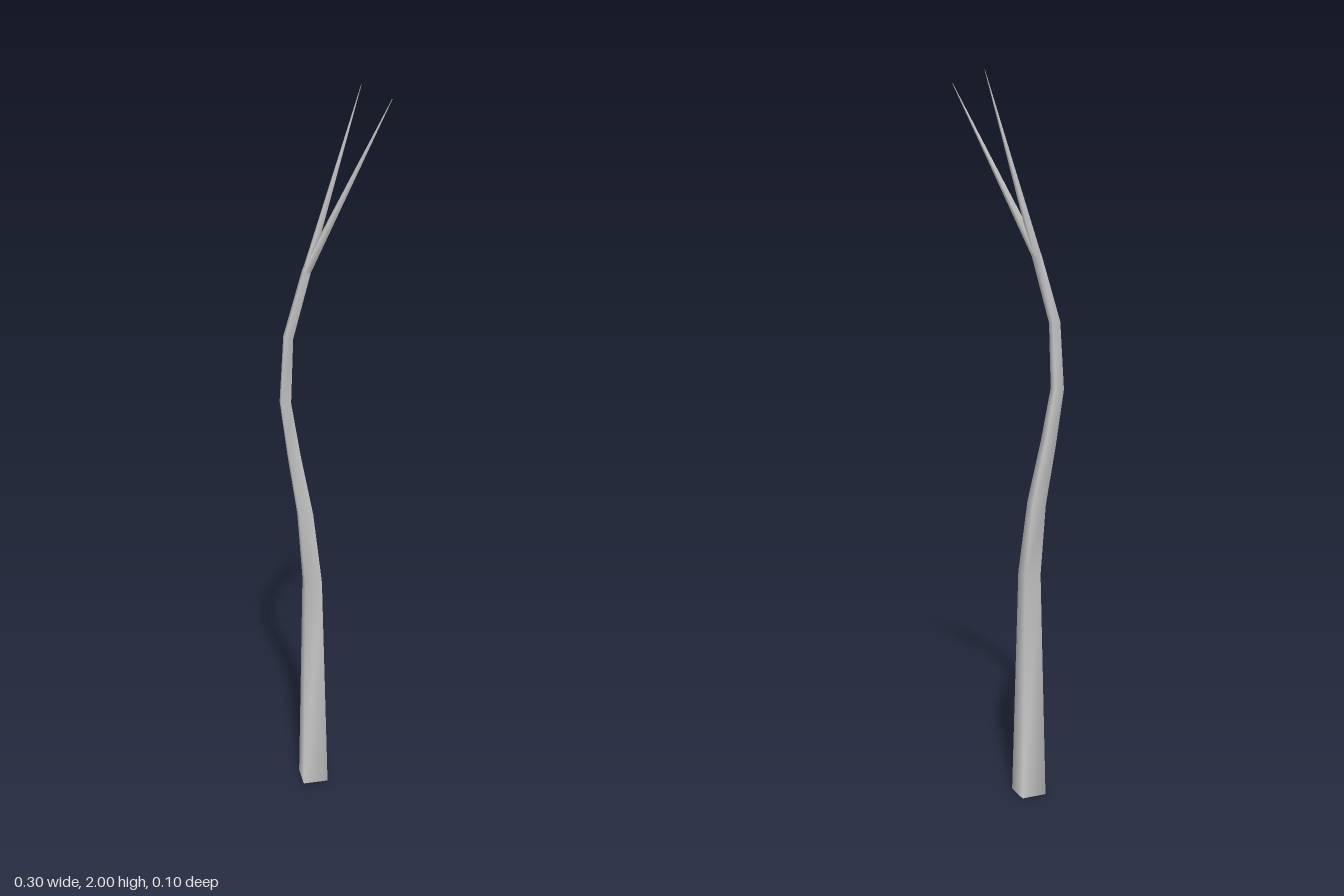
import * as THREE from 'three';

const SIDES = 4;
const TWIST = 0.43; // turn of the square section about the stem

// Tapered stem through rings [x, y, z, radius]; inner rings tilt with the bend.
function taperedStem(name, rings, material) {
  const pos = [], index = [];
  rings.forEach(([x, y, z, r], i) => {
    const p = rings[Math.max(i - 1, 0)], n = rings[Math.min(i + 1, rings.length - 1)];
    const tilt = y === 0 ? 0 : 1 / (n[1] - p[1]);
    const sx = (n[0] - p[0]) * tilt, sz = (n[2] - p[2]) * tilt;
    for (let k = 0; k < SIDES; k++) {
      const a = TWIST + (k / SIDES) * Math.PI * 2;
      const dx = r * Math.cos(a), dz = r * Math.sin(a);
      pos.push(x + dx, y - dx * sx - dz * sz, z + dz);
      if (i === 0) continue;
      const k2 = (k + 1) % SIDES, lo = (i - 1) * SIDES, hi = i * SIDES;
      index.push(lo + k, hi + k, lo + k2, lo + k2, hi + k, hi + k2);
    }
  });
  const geo = new THREE.BufferGeometry();
  geo.setAttribute('position', new THREE.Float32BufferAttribute(pos, 3));
  geo.setIndex(index);
  geo.computeVertexNormals();
  const mesh = new THREE.Mesh(geo, material);
  mesh.name = name;
  return mesh;
}

export function createModel() {
  const group = new THREE.Group();
  group.name = 'bareStem';
  const material = new THREE.MeshStandardMaterial({ color: 0xcccccc, side: THREE.DoubleSide });

  // Curved trunk, open at the foot
  group.add(taperedStem('trunk', [
    [-0.058, 0, 0.004, 0.051],
    [-0.058, 0.65, 0.003, 0.033],
    [-0.077, 0.85, 0, 0.027],
    [-0.108, 1.02, -0.007, 0.022],
    [-0.131, 1.17, -0.013, 0.019],
    [-0.122, 1.35, -0.019, 0.016],
    [-0.072, 1.53, -0.022, 0.0135],
  ], material));

  // Two twigs forking from the trunk top to fine points
  const tips = { backTwig: [0.065, 2, -0.052], frontTwig: [0.147, 1.97, -0.01] };
  for (const [name, tip] of Object.entries(tips)) {
    const z = name === 'backTwig' ? -0.025 : -0.021;
    group.add(taperedStem(name, [[-0.072, 1.53, z, 0.0125], [...tip, 0.0006]], material));
  }
  return group;
}
